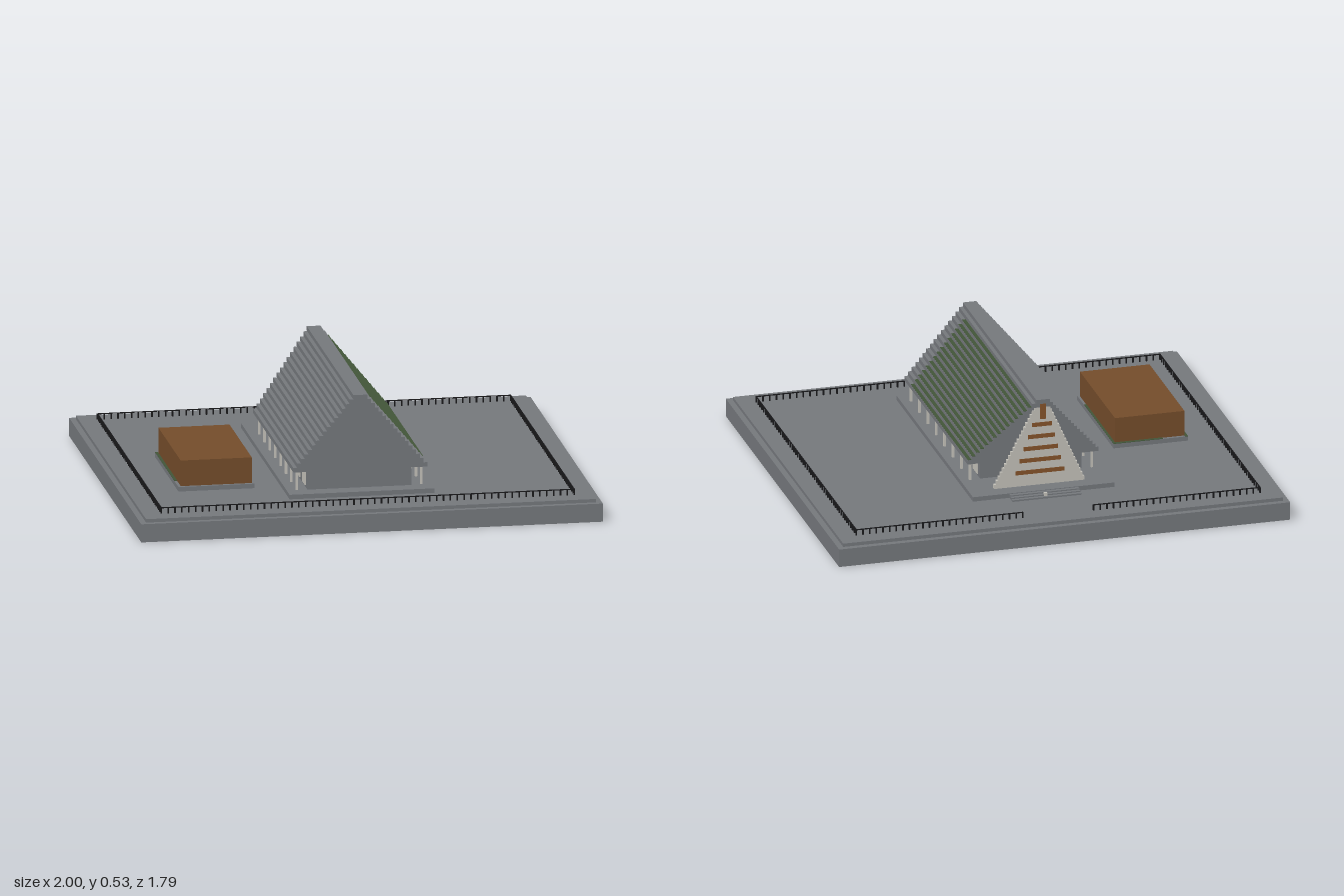
import * as THREE from 'three';

const mat = (name, color) => {
  const m = new THREE.MeshStandardMaterial({ color });
  m.name = name;
  return m;
};

export function createModel() {
  const stone = mat('grey stone', 0x74777b);
  const brown = mat('brown wood', 0x734c2a);
  const slatWood = mat('warm slat wood', 0x84532a);
  const green = mat('moss green', 0x415538);
  const beige = mat('pale plaster', 0xc2c0b8);
  const black = mat('black iron', 0x18181a);

  const model = new THREE.Group();
  model.name = 'templeSite';
  const group = (name, parent = model) => {
    const g = new THREE.Group();
    g.name = name;
    parent.add(g);
    return g;
  };
  // Box given by its min and max on each axis
  const box = (parent, name, material, x0, x1, y0, y1, z0, z1) => {
    const m = new THREE.Mesh(new THREE.BoxGeometry(x1 - x0, y1 - y0, z1 - z0), material);
    m.position.set((x0 + x1) / 2, (y0 + y1) / 2, (z0 + z1) / 2);
    m.name = name;
    parent.add(m);
  };

  // Ground: hollow base, open underneath, with a slightly smaller slab on top
  const ground = group('ground');
  const t = 0.003;
  box(ground, 'baseTop', stone, -1, 1, 0.077, 0.08, -0.895, 0.895);
  for (const s of [-1, 1]) {
    const x = s * (1 - t / 2), z = s * (0.895 - t / 2);
    box(ground, 'baseSide', stone, x - t / 2, x + t / 2, 0, 0.077, -0.895, 0.895);
    box(ground, 'baseEnd', stone, -1 + t, 1 - t, 0, 0.077, z - t / 2, z + t / 2);
  }
  box(ground, 'upperSlab', stone, -0.975, 0.975, 0.08, 0.095, -0.87, 0.87);

  // Perimeter fence with a gateway at the back
  const fence = group('fence');
  const fenceRun = (ax, az, bx, bz) => {
    const r = 0.002, p = 0.003;
    const x0 = Math.min(ax, bx) - r, x1 = Math.max(ax, bx) + r;
    const z0 = Math.min(az, bz) - r, z1 = Math.max(az, bz) + r;
    box(fence, 'fenceRail', black, x0, x1, 0.118, 0.122, z0, z1);
    const n = Math.round(Math.hypot(bx - ax, bz - az) / 0.03);
    for (let i = 0; i <= n; i++) {
      const x = ax + (bx - ax) * i / n, z = az + (bz - az) * i / n;
      box(fence, 'fencePost', black, x - p, x + p, 0.095, 0.12, z - p, z + p);
    }
  };
  fenceRun(-0.895, 0.787, 0.895, 0.787);
  for (const s of [-1, 1]) {
    fenceRun(s * 0.895, -0.792, s * 0.895, 0.787);
    fenceRun(s * 0.157, -0.792, s * 0.895, -0.792);
  }

  // Annex: brown block on a plinth with moss along its edges
  const annex = group('annex');
  box(annex, 'annexPlinth', stone, -0.76, -0.43, 0.095, 0.115, -0.135, 0.443);
  box(annex, 'annexBlock', brown, -0.748, -0.44, 0.115, 0.228, -0.122, 0.43);
  box(annex, 'mossRight', green, -0.76, -0.748, 0.115, 0.117, -0.135, 0.34);
  box(annex, 'mossLeft', green, -0.44, -0.43, 0.115, 0.117, -0.122, 0.33);
  box(annex, 'mossBack', green, -0.65, -0.43, 0.115, 0.117, -0.135, -0.122);

  // Hall: plinth, walls, wall panels and slim veranda posts
  const hall = group('hall');
  box(hall, 'hallPlinth', stone, -0.315, 0.312, 0.095, 0.115, -0.558, 0.652);
  box(hall, 'hallWalls', stone, -0.225, 0.225, 0.115, 0.2, -0.36, 0.58);
  const bays = 7, bay = 0.93 / bays;
  for (const s of [-1, 1]) {
    for (let i = 0; i <= bays; i++) {
      const z = 0.57 - i * bay;
      box(hall, 'verandaPost', beige, s * 0.27 - 0.005, s * 0.27 + 0.005, 0.115, 0.2, z - 0.005, z + 0.005);
      if (i < bays) {
        const c = z - bay / 2;
        box(hall, 'wallPanel', beige, s * 0.227 - 0.003, s * 0.227 + 0.003, 0.125, 0.2, c - 0.036, c + 0.036);
      }
    }
  }

  // Stepped roof: each course is narrower and reaches further back
  const roof = group('roof');
  const courses = 17, y0 = 0.2, rise = 0.33 / courses;
  const half = i => 0.29 - 0.26 * i / (courses - 1);
  const back = i => -0.395 - 0.16 * i / (courses - 1);
  for (let i = 0; i < courses; i++) {
    const y = y0 + i * rise;
    box(roof, 'roofCourse', stone, -half(i), half(i), y, y + rise, back(i), 0.605);
    if (i < courses - 2) {
      box(roof, 'mossTread', green, half(i + 1), half(i) - 0.001, y + rise, y + rise + 0.002, back(i), 0.505);
    }
  }

  // Leaning rear gable in narrow courses, with rows of brown slats
  const gable = group('rearGable');
  const rows = 20, rowRise = 0.38 / rows;
  for (let i = 0; i < rows; i++) {
    const f = i / (rows - 1);
    const w = 0.2 - 0.165 * f, y = 0.115 + i * rowRise, z = -0.485 - 0.052 * f;
    box(gable, 'gableCourse', beige, -w, w, y, y + rowRise, z - 0.007, z + 0.007);
    if (i >= 3 && i <= 15 && i % 3 === 0) {
      box(gable, 'gableSlat', slatWood, -w * 0.62, w * 0.62, y, y + rowRise, z - 0.011, z - 0.007);
    }
  }
  box(gable, 'ridgePendant', slatWood, -0.012, 0.012, 0.44, 0.51, -0.554, -0.544);

  // Low entrance steps behind the gable, with a small pale marker stone
  const steps = group('entranceSteps');
  for (let i = 0; i < 3; i++) {
    box(steps, 'step', stone, -0.155, 0.15, 0.095, 0.112 - i * 0.005, -0.575 - i * 0.016, -0.558);
  }
  box(steps, 'markerStone', beige, -0.007, 0.007, 0.095, 0.116, -0.597, -0.585);

  return model;
}
